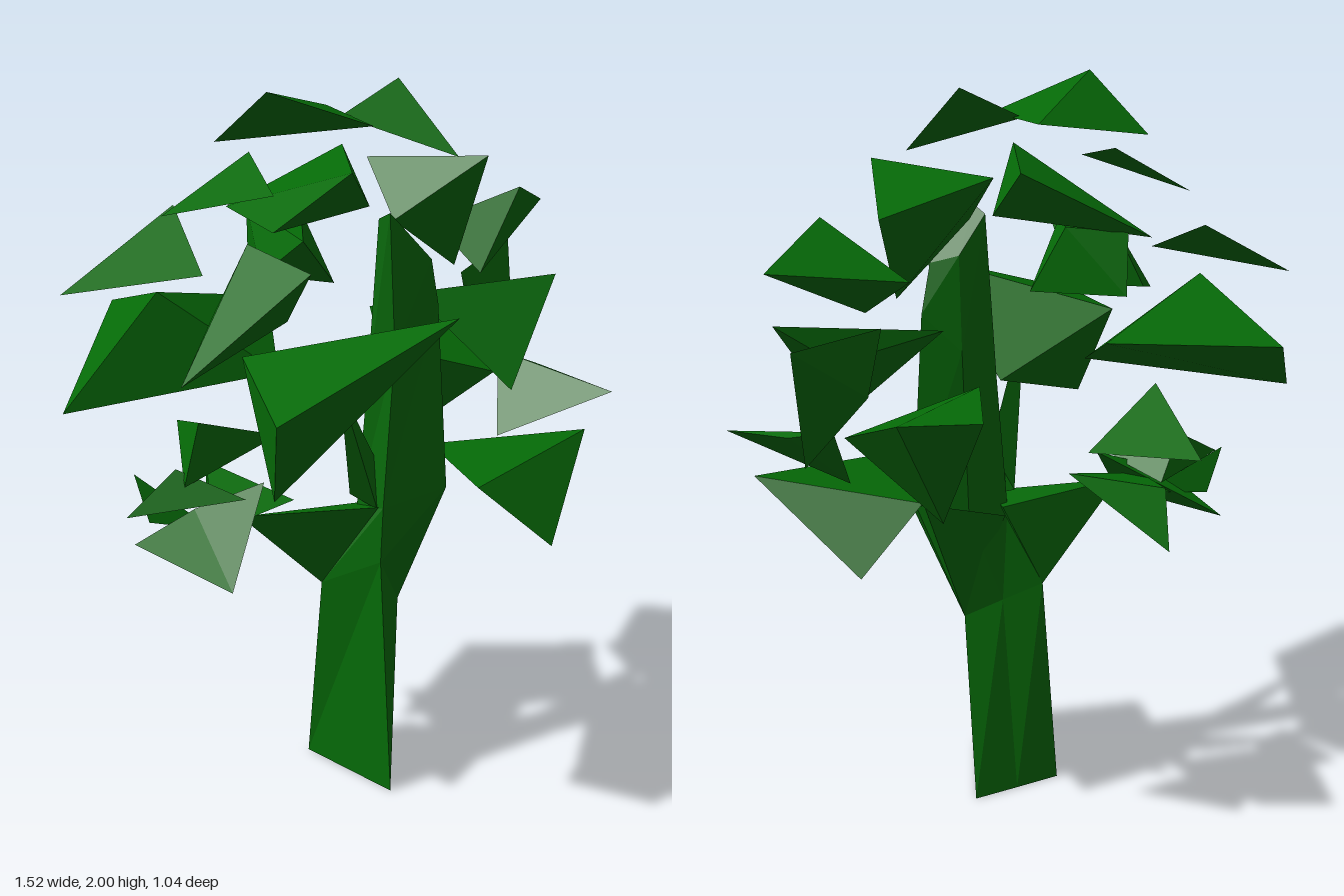
import * as THREE from 'three';
import { ConvexGeometry } from 'three/addons/geometries/ConvexGeometry.js';

const green = new THREE.MeshStandardMaterial({ color: 0x056a07, flatShading: true, side: THREE.DoubleSide });
green.name = 'leafGreen';

const vec = (p) => new THREE.Vector3(...p);

// Angular solid around a few corner points; three points give a single blade
function shard(name, corners) {
  let geo;
  if (corners.length === 3) {
    geo = new THREE.BufferGeometry().setFromPoints(corners.map(vec));
    geo.computeVertexNormals();
  } else {
    geo = new ConvexGeometry(corners.map(vec));
  }
  const mesh = new THREE.Mesh(geo, green);
  mesh.name = name;
  return mesh;
}

// Skin a stack of equal cross-sections, capped at both ends
function skin(name, rings) {
  const pts = [];
  const tri = (...t) => t.forEach((p) => pts.push(vec(p)));
  const n = rings[0].length;
  for (let r = 0; r < rings.length - 1; r++) {
    const lo = rings[r], hi = rings[r + 1];
    for (let i = 0; i < n; i++) {
      const j = (i + 1) % n;
      tri(lo[i], lo[j], hi[j]);
      tri(lo[i], hi[j], hi[i]);
    }
  }
  const bottom = rings[0], top = rings[rings.length - 1];
  for (let i = 1; i < n - 1; i++) {
    tri(bottom[0], bottom[i + 1], bottom[i]);
    tri(top[0], top[i], top[i + 1]);
  }
  const geo = new THREE.BufferGeometry().setFromPoints(pts);
  geo.computeVertexNormals();
  const mesh = new THREE.Mesh(geo, green);
  mesh.name = name;
  return mesh;
}

export function createModel() {
  const tree = new THREE.Group();
  tree.name = 'tree';

  // Trunk: three-cornered foot opening into four sides; rings run front, right, back, left
  tree.add(skin('trunk', [
    [[0.05, 0, 0.19], [0.145, 0, -0.13], [0.015, 0, -0.108], [-0.115, 0, -0.085]],
    [[0.05, 0.7, 0.09], [0.14, 0.52, -0.01], [0.03, 0.56, -0.02], [-0.085, 0.6, -0.03]],
    [[0.06, 0.86, 0.08], [0.28, 0.86, 0], [0.13, 0.83, -0.03], [0.01, 0.83, 0]],
    [[0.1, 1.3, 0.05], [0.25, 1.4, -0.02], [0.15, 1.3, -0.05], [0.04, 1.2, 0]],
    [[0.09, 1.67, 0.03], [0.22, 1.53, 0], [0.15, 1.55, -0.03], [0.07, 1.65, 0]],
  ]));

  // Branches
  tree.add(shard('lowBranch', [[-0.085, 0.6, -0.03], [0.05, 0.86, 0.07], [0.03, 0.84, -0.02], [-0.33, 0.87, 0.025]]));
  tree.add(shard('backBranch', [[0.14, 0.52, -0.01], [0.27, 0.86, 0], [0.02, 0.81, -0.01], [0.29, 0.93, -0.17]]));
  tree.add(shard('frontBranch', [[0.05, 0.85, 0.06], [-0.01, 0.88, 0], [0.05, 1, 0.03], [-0.13, 1.31, 0.28]]));

  // Leaf clumps
  const clumps = {
    crownLeft: [[-0.25, 2, 0.1], [-0.33, 1.85, -0.12], [0.02, 1.9, -0.28], [0.03, 1.9, 0.07]],
    crownRight: [[0, 1.9, -0.1], [0.26, 1.81, 0.07], [0.18, 1.98, -0.16]],
    upperBladeInner: [[-0.49, 1.69, -0.04], [-0.26, 1.77, 0.18], [-0.24, 1.82, -0.12]],
    upperBladeOuter: [[-0.74, 1.48, -0.15], [-0.4, 1.54, 0], [-0.4, 1.65, -0.33]],
    upperMiddle: [[-0.25, 1.63, -0.35], [-0.06, 1.81, 0.17], [0.07, 1.79, -0.3], [0.08, 1.66, -0.1], [-0.22, 1.64, 0.02]],
    upperFront: [[-0.53, 1.36, 0.3], [-0.29, 1.62, 0.03], [-0.2, 1.6, 0.28], [-0.21, 1.43, 0.1], [-0.38, 1.43, 0]],
    innerClump: [[-0.08, 1.64, -0.2], [-0.02, 1.46, -0.1], [-0.22, 1.5, -0.1], [-0.15, 1.62, 0.05], [-0.2, 1.48, -0.32], [-0.2, 1.64, -0.32]],
    largeBack: [[-0.76, 1.16, -0.14], [-0.5, 1.48, -0.1], [-0.56, 1.36, -0.47], [-0.14, 1.37, -0.34], [-0.2, 1.25, -0.03]],
    largeFront: [[-0.36, 1.32, 0.52], [0.15, 1.48, 0.36], [-0.32, 1.05, 0.34], [0.02, 1.19, 0.03], [-0.33, 1.35, 0.1]],
    lowUpper: [[-0.43, 1.15, 0.01], [-0.48, 0.98, 0.03], [-0.17, 1.02, -0.15], [-0.42, 1.03, -0.33]],
    lowOuter: [[-0.64, 0.92, 0.04], [-0.49, 1.01, -0.03], [-0.32, 0.93, 0.05], [-0.4, 0.9, -0.12]],
    lowFront: [[-0.6, 0.77, -0.1], [-0.41, 0.76, 0.24], [-0.26, 0.96, 0.02], [-0.45, 0.9, 0]],
    lowBlade: [[-0.59, 0.98, -0.1], [-0.56, 0.84, -0.08], [-0.4, 0.83, 0]],
    lowInner: [[-0.18, 0.9, 0.03], [-0.36, 0.93, -0.24], [-0.36, 0.76, -0.28], [-0.42, 0.86, 0.08]],
    sideTop: [[0.11, 1.77, -0.21], [0.36, 1.8, 0.03], [0.42, 1.7, -0.32], [0.34, 1.47, -0.13], [0.115, 1.64, -0.01]],
    sideUpper: [[0.52, 1.68, -0.11], [0.69, 1.59, -0.32], [0.35, 1.55, -0.32], [0.42, 1.44, -0.13]],
    sideFront: [[0.23, 1.39, -0.17], [0.65, 1.42, -0.12], [0.47, 1.13, 0], [0.5, 1.32, -0.14]],
    sideMiddle: [[0.66, 1.44, -0.47], [0.61, 1.1, -0.28], [0.4, 1.42, -0.22], [0.44, 1.25, -0.23]],
    sideBack: [[0.23, 1.25, -0.52], [0.42, 1.24, -0.45], [0.14, 1.24, -0.18], [0.27, 0.92, -0.29], [0.49, 1.13, -0.16]],
    sideOuter: [[0.76, 1.11, 0.055], [0.53, 1.17, -0.23], [0.46, 0.97, -0.06], [0.63, 1.14, -0.15]],
    sideLow: [[0.28, 0.95, 0.22], [0.7, 0.99, 0.02], [0.49, 0.76, 0.26], [0.47, 0.76, -0.21], [0.29, 0.93, -0.157]],
  };
  const foliage = new THREE.Group();
  foliage.name = 'foliage';
  for (const [name, corners] of Object.entries(clumps)) foliage.add(shard(name, corners));
  tree.add(foliage);

  return tree;
}
